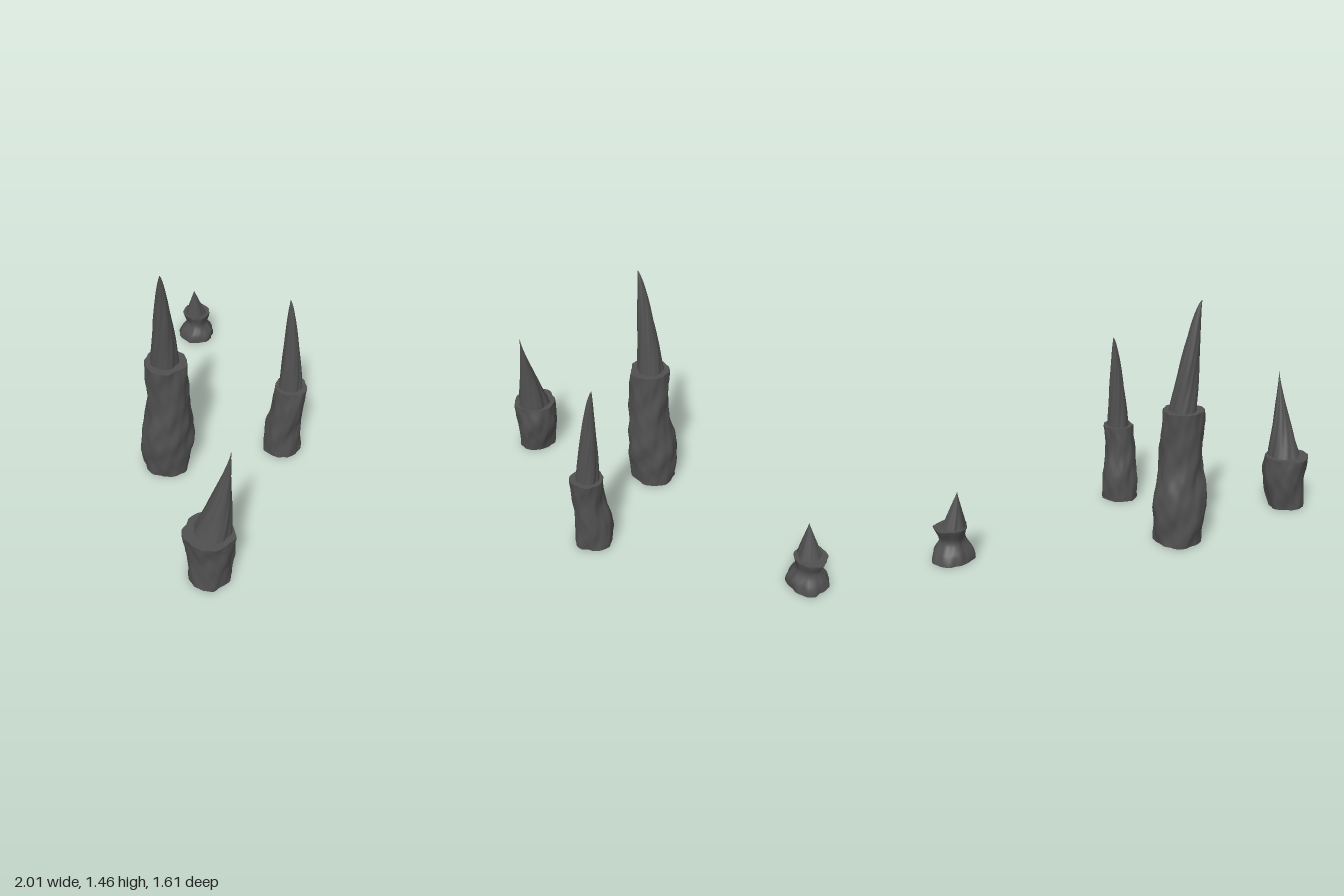
import * as THREE from 'three';

const SIDES = 56;
const rock = new THREE.MeshStandardMaterial({ color: 0x505050 });
rock.name = 'dark rock';

// Irregular knobs for the trunks, slanting as they climb
function knobs(a, y, seed) {
  const s = seed * 1.7, t = a + y * 1.6;
  return 0.4 * Math.sin(3 * t + s + 7 * y) + 0.3 * Math.sin(5 * t - s + 11 * y)
    + 0.3 * Math.sin(7 * a + 2 * s - 14 * y) + 0.22 * Math.sin(4 * a + 33 * y + s)
    + 0.18 * Math.sin(13 * t + 3 * s) + 0.12 * Math.sin(9 * a - 48 * y);
}

// Long upright ribs for the spires
function ribs(a, y, seed) {
  const s = seed * 1.7, t = a + y * 1.6;
  return 0.4 * Math.sin(5 * t + s) + 0.35 * Math.sin(8 * t + 2 * s + 3 * y)
    + 0.25 * Math.sin(13 * t - s) + 0.2 * Math.sin(3 * a + 22 * y + s);
}

// Rough rock lofted through rings; sectionAt(t) gives [x, y, z, radius]
function loft(name, sectionAt, rows, relief, seed) {
  const pos = [], index = [];
  const addRing = (i) => {
    const [x, y, z, r] = sectionAt(i / rows);
    for (let j = 0; j < SIDES; j++) {
      const a = j / SIDES * Math.PI * 2;
      const k = r * (0.965 + 0.075 * relief(a, y, seed));
      pos.push(x + Math.cos(a) * k, y, z + Math.sin(a) * k);
    }
    return [x, y, z];
  };
  for (let i = 0; i <= rows; i++) addRing(i);
  for (let i = 0; i < rows; i++) {
    for (let j = 0; j < SIDES; j++) {
      const n = (j + 1) % SIDES, r = i * SIDES, u = r + SIDES;
      index.push(r + j, u + j, r + n, r + n, u + j, u + n);
    }
  }
  // Flat caps with their own vertices keep the edges sharp
  for (const row of [0, rows]) {
    const start = pos.length / 3;
    pos.push(...addRing(row));
    const centre = start + SIDES;
    for (let j = 0; j < SIDES; j++) {
      const n = start + (j + 1) % SIDES;
      if (row) index.push(centre, n, start + j);
      else index.push(centre, start + j, n);
    }
  }
  const geo = new THREE.BufferGeometry();
  geo.setAttribute('position', new THREE.Float32BufferAttribute(pos, 3));
  geo.setIndex(index);
  geo.computeVertexNormals();
  const mesh = new THREE.Mesh(geo, rock);
  mesh.name = name;
  return mesh;
}

// Trunk: a smooth path through a few [x, y, z, radius] rings
function makeTrunk(rings, seed) {
  const path = new THREE.CatmullRomCurve3(rings.map(([x, y, z]) => new THREE.Vector3(x, y, z)), false, 'catmullrom');
  const radius = new THREE.SplineCurve(rings.map(([, y, , r]) => new THREE.Vector2(r, y)));
  return loft('trunk', t => [...path.getPoint(t).toArray(), radius.getPoint(t).x], 40, knobs, seed);
}

// Spire: tapers to its tip, leaning over as it narrows
function makeSpire([x, y, z, r], [tipX, tipY, tipZ], power, seed) {
  return loft('spire', t => {
    const taper = Math.pow(1 - t, power);
    return [
      THREE.MathUtils.lerp(tipX, x, taper),
      THREE.MathUtils.lerp(y, tipY, t),
      THREE.MathUtils.lerp(tipZ, z, taper),
      Math.max(r * taper, 0.002),
    ];
  }, 32, ribs, seed);
}

const stalagmites = [
  {
    name: 'tallStalagmite',
    trunk: [[-0.315, 0, -0.05, 0.148], [-0.32, 0.25, -0.04, 0.164], [-0.32, 0.5, -0.02, 0.133], [-0.33, 0.82, -0.028, 0.126]],
    base: [-0.328, 0.8, -0.035, 0.086], tip: [-0.414, 1.46, 0.02], power: 0.7,
  },
  {
    name: 'slimStalagmite',
    trunk: [[0.22, 0, 0.46, 0.12], [0.224, 0.17, 0.457, 0.115], [0.222, 0.34, 0.483, 0.1], [0.239, 0.5, 0.487, 0.1]],
    base: [0.238, 0.48, 0.483, 0.074], tip: [0.25, 1.1, 0.435], power: 0.67,
  },
  {
    name: 'broadStalagmite',
    trunk: [[-0.87, 0, 0.665, 0.123], [-0.848, 0.2, 0.655, 0.14], [-0.865, 0.345, 0.657, 0.143]],
    base: [-0.845, 0.325, 0.662, 0.111], tip: [-0.775, 0.885, 0.724], power: 1.2,
  },
  {
    name: 'smallStalagmite',
    trunk: [[0.872, 0, -0.682, 0.13], [0.872, 0.05, -0.675, 0.117], [0.873, 0.12, -0.673, 0.077], [0.874, 0.2, -0.682, 0.099]],
    base: [0.857, 0.185, -0.677, 0.077], tip: [0.826, 0.41, -0.667], power: 1,
  },
];

export function createModel() {
  const model = new THREE.Group();
  model.name = 'stalagmites';
  stalagmites.forEach(({ name, trunk, base, tip, power }, i) => {
    const group = new THREE.Group();
    group.name = name;
    group.add(makeTrunk(trunk, i + 1), makeSpire(base, tip, power, i + 5));
    model.add(group);
  });
  return model;
}
